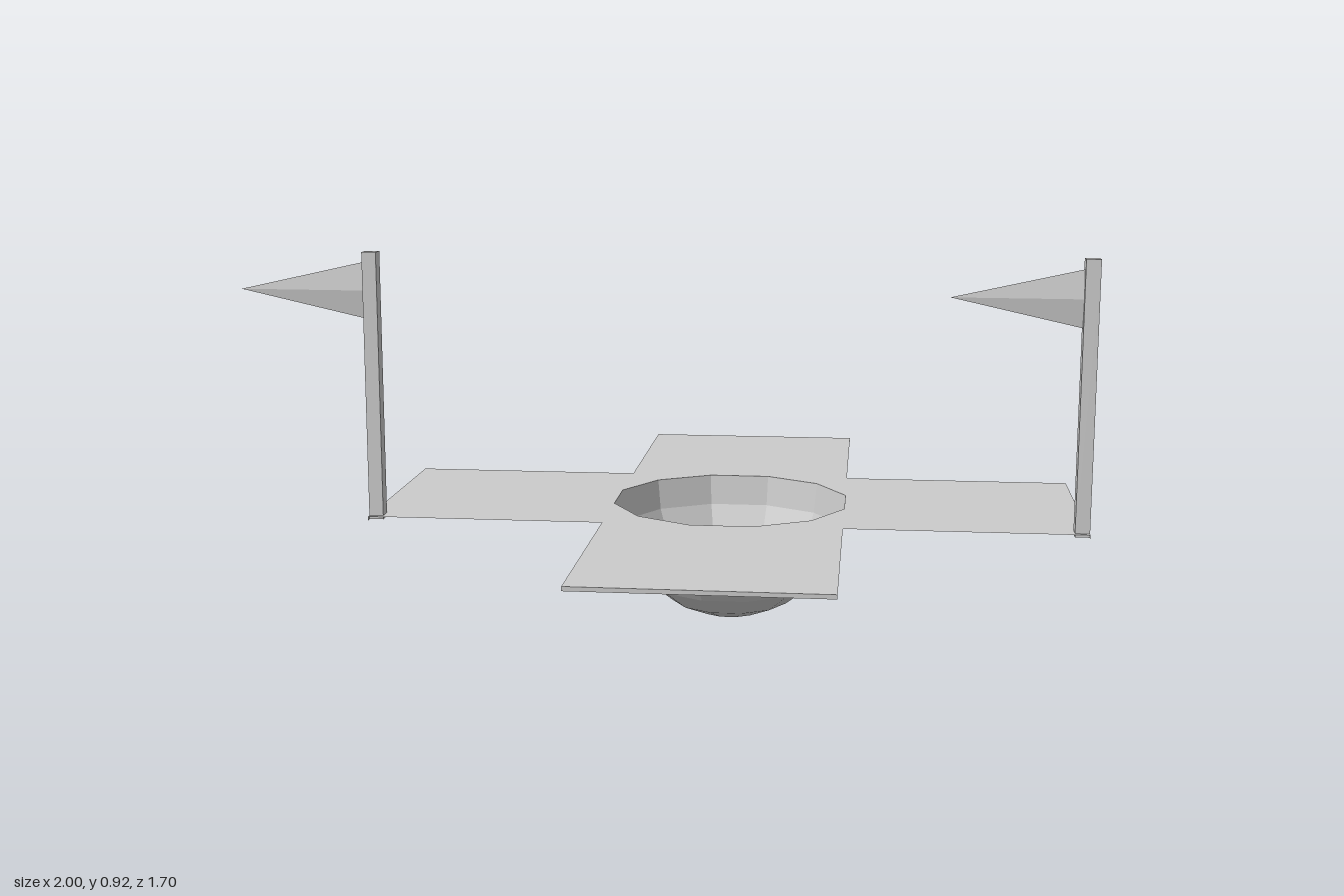
import * as THREE from 'three';

const CX = 0.147;      // centre of the cross in x
const HALF = 0.283;    // half width of an arm
const REACH = 0.849;   // centre to arm end
const RIM = 0.293;     // bowl radius and sheet height
const LIP = 0.01;      // sheet edge depth

export function createModel() {
  const group = new THREE.Group();
  const mat = new THREE.MeshStandardMaterial({ color: 0xcccccc, flatShading: true, side: THREE.DoubleSide });
  const add = (name, geometry, x, y, z, parent = group) => {
    const mesh = new THREE.Mesh(geometry, mat);
    mesh.name = name;
    mesh.position.set(x, y, z);
    parent.add(mesh);
    return mesh;
  };

  // Cross-shaped sheet with a twelve-sided opening
  const a = HALF, b = REACH;
  const cross = new THREE.Shape([
    [-a, -b], [a, -b], [a, -a], [b, -a], [b, a], [a, a],
    [a, b], [-a, b], [-a, a], [-b, a], [-b, -a], [-a, -a],
  ].map(([x, y]) => new THREE.Vector2(x, y)));
  const opening = [];
  for (let i = 0; i < 12; i++) {
    const t = -(i + 0.5) * Math.PI / 6;
    opening.push(new THREE.Vector2(RIM * Math.cos(t), RIM * Math.sin(t)));
  }
  cross.holes.push(new THREE.Path(opening));
  add('crossSheet', new THREE.ShapeGeometry(cross).rotateX(-Math.PI / 2), CX, RIM, 0);

  // Narrow lip under each arm end
  for (let i = 0; i < 4; i++) {
    const lip = new THREE.PlaneGeometry(2 * HALF, LIP).translate(0, 0, REACH).rotateY(i * Math.PI / 2);
    add('armEndLip', lip, CX, RIM - LIP / 2, 0);
  }

  // Open faceted half-sphere bowl hanging in the opening
  const bowl = new THREE.SphereGeometry(RIM, 12, 6, 0, Math.PI * 2, Math.PI / 2, Math.PI / 2);
  add('bowl', bowl.rotateY(Math.PI / 12), CX, RIM, 0);

  // Two square poles, each with a flat four-sided pennant
  for (const x of [-0.685, 0.979]) {
    const flag = new THREE.Group();
    flag.name = 'flag';
    flag.position.set(x, 0, 0.253);
    group.add(flag);
    add('pole', new THREE.BoxGeometry(0.034, 0.64, 0.034), 0, 0.604, 0, flag);
    const pennant = new THREE.ConeGeometry(1, 0.3, 4).scale(0.067, 1, 0.009).rotateZ(Math.PI / 2);
    add('pennant', pennant, -0.165, 0.833, 0, flag);
  }
  return group;
}
